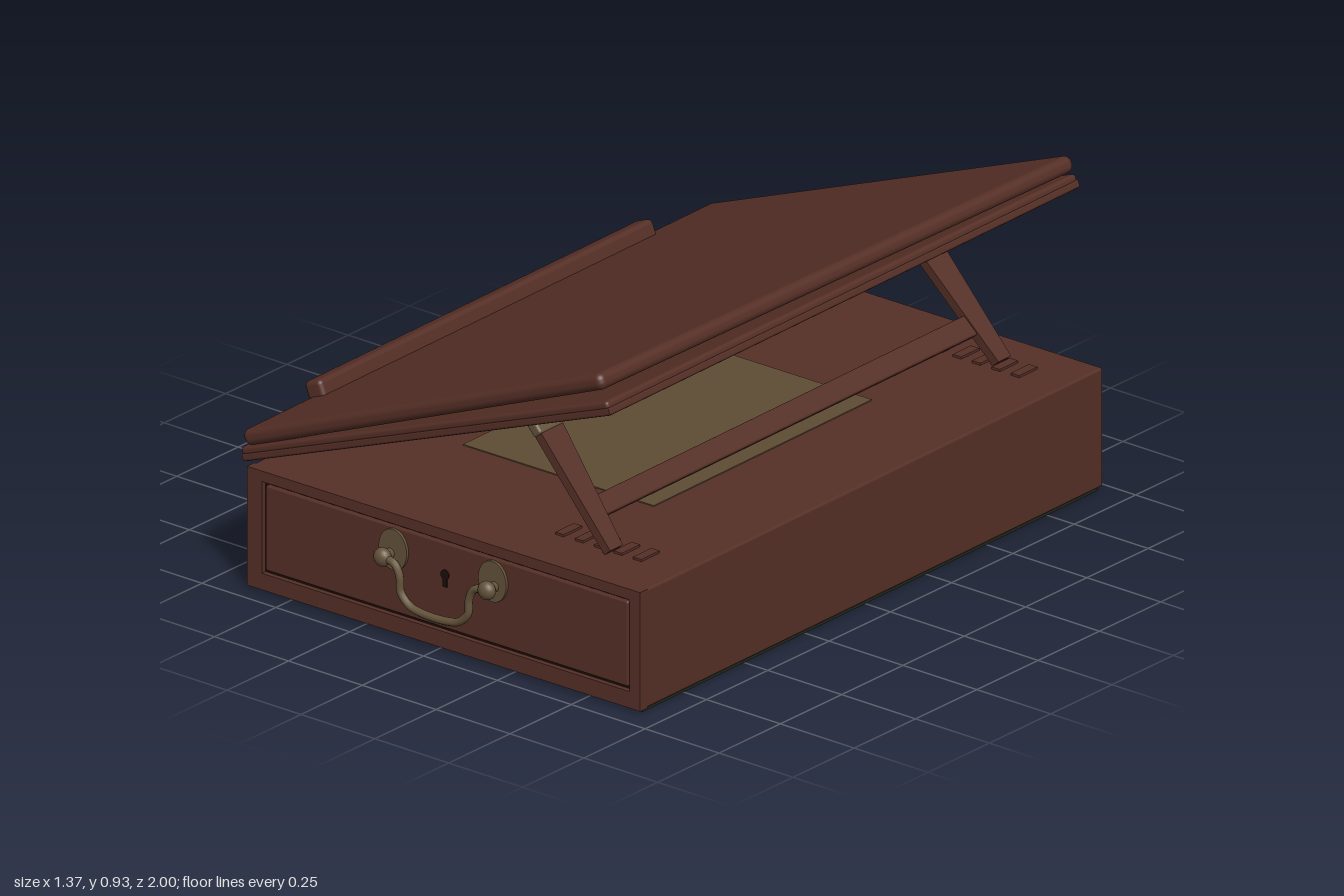
import * as THREE from 'three';
import { RoundedBoxGeometry } from 'three/addons/geometries/RoundedBoxGeometry.js';

const material = (name, color) => {
  const m = new THREE.MeshStandardMaterial({ color });
  m.name = name;
  return m;
};

export function createModel() {
  const wood = material('mahogany', 0x552f26);
  const brass = material('aged brass', 0x64533a);
  const lining = material('tan lining', 0x5e4c33);
  const felt = material('dark green felt', 0x20261c);
  const shadowGap = material('dark gap', 0x1c100c);

  const model = new THREE.Group();
  model.name = 'writingBox';

  const add = (parent, name, geometry, mat, x = 0, y = 0, z = 0) => {
    const mesh = new THREE.Mesh(geometry, mat);
    mesh.name = name;
    mesh.position.set(x, y, z);
    parent.add(mesh);
    return mesh;
  };
  const group = (name, x, y, angle) => {
    const g = new THREE.Group();
    g.name = name;
    g.position.set(x, y, 0);
    g.rotation.z = angle;
    model.add(g);
    return g;
  };
  const box = (w, h, d) => new THREE.BoxGeometry(w, h, d);
  const rounded = (w, h, d, r) => new RoundedBoxGeometry(w, h, d, 3, r);
  const polygon = (points) => new THREE.Shape(points.map(([x, y]) => new THREE.Vector2(x, y)));
  const rectangle = (x0, y0, x1, y1) => polygon([[x0, y0], [x1, y0], [x1, y1], [x0, y1]]);

  // Case, with a felt base and a framed front
  add(model, 'baseFelt', box(1.31, 0.01, 1.88), felt, 0.01, 0.005, -0.015);
  add(model, 'caseBody', rounded(1.32, 0.337, 1.895, 0.008), wood, 0.01, 0.1765, -0.0225);
  const frame = rectangle(-0.65, 0.008, 0.67, 0.345);
  frame.holes.push(rectangle(-0.6, 0.055, 0.635, 0.315));
  add(model, 'drawerFrame', new THREE.ExtrudeGeometry(frame, { depth: 0.03, bevelEnabled: false }),
    wood, 0, 0, 0.912);

  // Drawer front sits inside the frame with a thin dark gap
  add(model, 'drawerGap', box(1.235, 0.26, 0.004), shadowGap, 0.0175, 0.185, 0.925);
  add(model, 'drawerFront', rounded(1.217, 0.242, 0.02, 0.006), wood, 0.0175, 0.185, 0.929);

  // Keyhole
  add(model, 'keyholeTop', new THREE.CylinderGeometry(0.014, 0.014, 0.004, 16).rotateX(Math.PI / 2),
    shadowGap, 0.013, 0.217, 0.94);
  add(model, 'keyholeSlot', box(0.014, 0.035, 0.004), shadowGap, 0.013, 0.2, 0.94);

  // Back plates, knobs and swinging handle
  for (const side of [-1, 1]) {
    const x = 0.01 + side * 0.175;
    const plate = new THREE.CylinderGeometry(1, 1, 0.008, 28).rotateX(Math.PI / 2).scale(0.047, 0.058, 1);
    add(model, 'handlePlate', plate, brass, x - side * 0.008, 0.244, 0.943);
    add(model, 'handlePost', new THREE.CylinderGeometry(0.014, 0.014, 0.045, 14).rotateX(Math.PI / 2),
      brass, x, 0.232, 0.962);
    add(model, 'handleKnob', new THREE.SphereGeometry(0.026, 18, 12).scale(1, 1, 0.8),
      brass, x, 0.232, 0.979);
  }
  const bail = [[-0.175, 0.232], [-0.135, 0.225], [-0.117, 0.195], [-0.113, 0.15], [-0.085, 0.12],
    [-0.045, 0.109], [0.045, 0.109], [0.085, 0.12], [0.113, 0.15], [0.117, 0.195], [0.135, 0.225], [0.175, 0.232]];
  const bailCurve = new THREE.CatmullRomCurve3(
    bail.map(([x, y]) => new THREE.Vector3(x + 0.01, y, 0.98)));
  add(model, 'handleBail', new THREE.TubeGeometry(bailCurve, 60, 0.011, 10), brass);

  // Lined panel and support notches on top of the case
  add(model, 'topLining', box(0.64, 0.004, 0.9), lining, 0.02, 0.346, 0.03);
  for (const z of [0.745, -0.815]) {
    for (let i = 0; i < 5; i++) {
      add(model, 'supportNotch', box(0.028, 0.009, 0.075), wood, 0.27 + i * 0.065, 0.347, z);
    }
  }

  // Hinges along the left edge
  for (const z of [-0.6, 0.6]) {
    add(model, 'hinge', new THREE.CylinderGeometry(0.012, 0.012, 0.22, 12).rotateX(Math.PI / 2),
      brass, -0.648, 0.354, z);
  }

  // Lower board: full layer above, layer with a recess for the folded support below
  const lower = group('lowerBoard', -0.657, 0.38, 0.361);
  add(lower, 'lowerBoardTop', rounded(1.315, 0.024, 1.94, 0.01), wood, 0.6575, 0.008, -0.015);
  const underside = rectangle(0.006, -0.949, 1.309, 0.979);
  underside.holes.push(polygon([
    [0.44, -0.815], [0.91, -0.815], [0.91, -0.7], [0.6, -0.73], [0.6, 0.78], [0.91, 0.75],
    [0.91, 0.86], [0.44, 0.86], [0.44, 0.79], [0.53, 0.78], [0.53, -0.73], [0.44, -0.75],
  ]));
  const undersideGeometry = new THREE.ExtrudeGeometry(underside, {
    depth: 0.012, bevelThickness: 0.006, bevelSize: 0.006, bevelSegments: 2,
  }).rotateX(-Math.PI / 2);
  add(lower, 'lowerBoardUnderside', undersideGeometry, wood, 0, -0.014, 0);

  // Upper board, slightly warped so its far back corner sags
  const upper = group('upperBoard', -0.658, 0.422, 0.386);
  const upperGeometry = new RoundedBoxGeometry(1.3, 0.046, 1.945, 4, 0.02).translate(0.65, 0, -0.02);
  const p = upperGeometry.attributes.position;
  for (let i = 0; i < p.count; i++) {
    const sag = 0.024 * (p.getX(i) / 1.3) * ((0.95 - p.getZ(i)) / 1.95);
    p.setY(i, p.getY(i) - sag);
  }
  add(upper, 'upperBoardPanel', upperGeometry, wood);
  add(upper, 'bookLedge', rounded(0.06, 0.055, 1.38, 0.014), wood, 0.027, 0.038, -0.02);

  // Hinged support: two tapered legs joined by a crossbar
  const support = group('support', 0.165, 0.675, 0.719);
  for (const [name, outer, side] of [['frontLeg', 0.805, 1], ['backLeg', -0.85, -1]]) {
    const at = (inset, y) => [-(outer - side * inset), y];
    const leg = polygon([at(0.005, 0), at(0.095, 0), at(0.095, -0.07), at(0.052, -0.43), at(0, -0.43)]);
    const legGeometry = new THREE.ExtrudeGeometry(leg, { depth: 0.026, bevelEnabled: false })
      .rotateY(Math.PI / 2);
    add(support, name, legGeometry, wood, -0.013);
    add(support, 'legCap', rounded(0.032, 0.07, 0.1, 0.008), brass, 0, -0.04, outer - side * 0.05);
    add(support, 'legPivot', new THREE.CylinderGeometry(0.018, 0.018, 0.08, 14).rotateX(Math.PI / 2),
      brass, 0, -0.004, outer - side * 0.05);
  }
  add(support, 'crossbar', rounded(0.03, 0.06, 1.54, 0.006), wood, -0.006, -0.31, -0.022);

  // The whole piece stands turned by a hair
  model.rotation.y = 0.01;
  const root = new THREE.Group();
  root.name = 'tiltTopWritingBox';
  root.add(model);
  return root;
}
